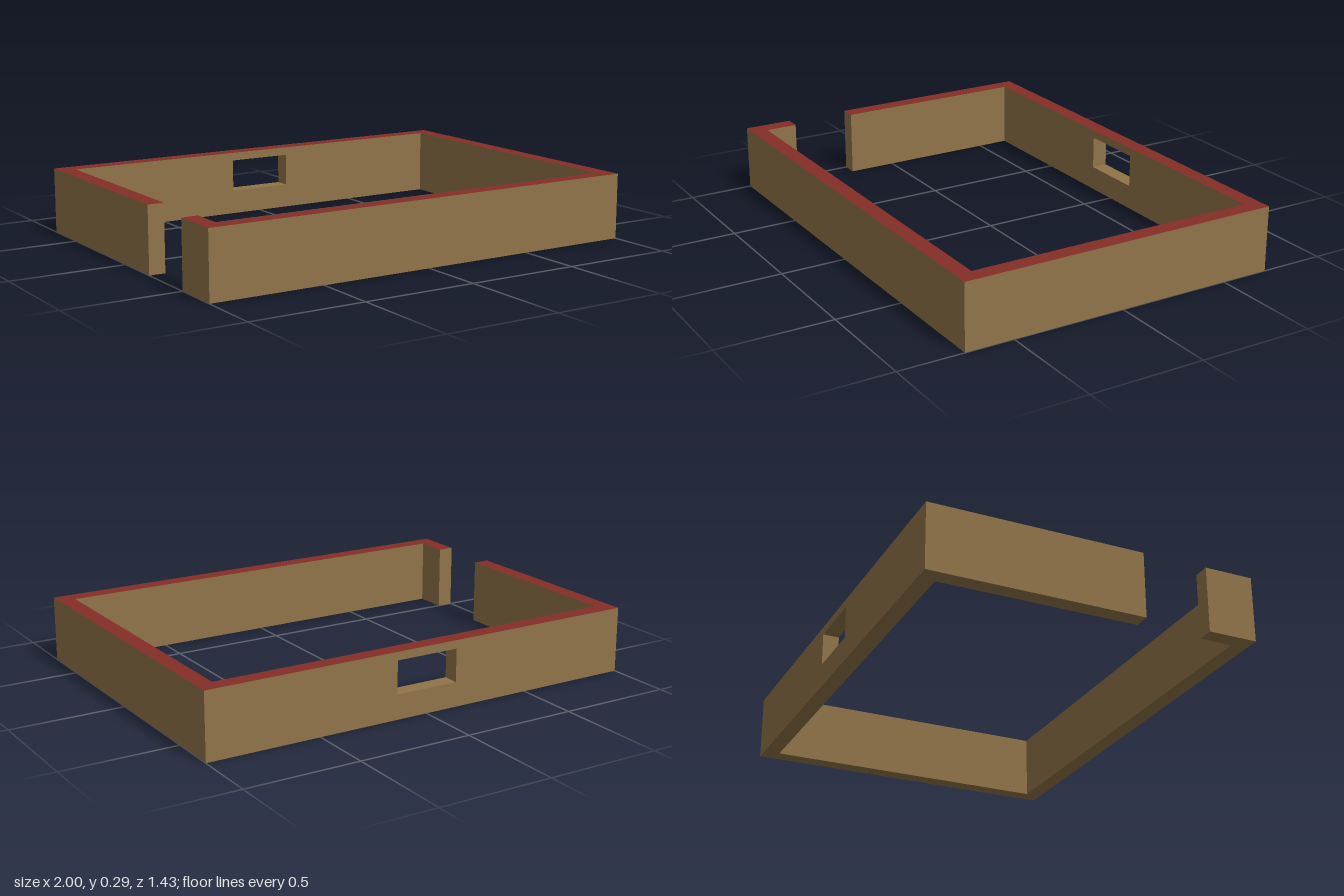
import * as THREE from 'three';
import { mergeGeometries } from 'three/addons/utils/BufferGeometryUtils.js';

const H = 0.286;                       // wall height
const X = 1, Z = 0.714, T = 0.071;     // outer half sizes and wall thickness
const DOOR = [0.214, 0.5];             // doorway gap along z in the -x wall
const WIN = { x: 0.143, y0: 0.107, y1: 0.25 };
const xi = X - T, zi = Z - T;

// Wall footprint (x, z), ordered so every edge faces out of the solid
const footprint = [
  [-X, Z], [X, Z], [X, -Z], [-X, -Z],
  [-X, DOOR[0]], [-xi, DOOR[0]],
  [-xi, -zi], [xi, -zi], [xi, zi], [-xi, zi],
  [-xi, DOOR[1]], [-X, DOOR[1]],
];

const rect = (C, x0, y0, x1, y1) => new C([[x0, y0], [x1, y0], [x1, y1], [x0, y1]]
  .map(([x, y]) => new THREE.Vector2(x, y)));

// Upright face over the ground line a -> b, optionally pierced by the window
function upright([ax, az], [bx, bz], y0, y1, pierced = false) {
  const len = Math.hypot(bx - ax, bz - az);
  const shape = rect(THREE.Shape, 0, y0, len, y1);
  if (pierced) shape.holes.push(rect(THREE.Path, len / 2 - WIN.x, WIN.y0, len / 2 + WIN.x, WIN.y1));
  return new THREE.ShapeGeometry(shape)
    .rotateY(Math.atan2(az - bz, bx - ax))
    .translate(ax, 0, az);
}

// Level face over an outline, facing up (dir 1) or down (dir -1)
function level(points, y, dir) {
  const shape = new THREE.Shape(points.map(([x, z]) => new THREE.Vector2(x, -dir * z)));
  return new THREE.ShapeGeometry(shape).rotateX(-dir * Math.PI / 2).translate(0, y, 0);
}

function createMesh(name, geometry, color) {
  const mesh = new THREE.Mesh(geometry, new THREE.MeshStandardMaterial({ color }));
  mesh.name = name;
  return mesh;
}

export function createModel() {
  const group = new THREE.Group();
  group.name = 'walledEnclosure';
  const wallColor = 0x8f7448, topColor = 0x842e26;

  // Wall faces; both sides of the back wall carry the window opening
  const faces = footprint.map((a, i) => {
    const b = footprint[(i + 1) % footprint.length];
    const isBack = a[1] === b[1] && a[1] <= -zi;
    return upright(a, b, 0, H, isBack);
  });
  faces.push(level(footprint, 0, -1));
  group.add(createMesh('walls', mergeGeometries(faces), wallColor));

  // Window reveal: two jambs, sill and head
  const w = WIN.x;
  const opening = [[-w, -Z], [w, -Z], [w, -zi], [-w, -zi]];
  group.add(createMesh('windowReveal', mergeGeometries([
    upright([-w, -zi], [-w, -Z], WIN.y0, WIN.y1),
    upright([w, -Z], [w, -zi], WIN.y0, WIN.y1),
    level(opening, WIN.y0, 1),
    level(opening, WIN.y1, -1),
  ]), wallColor));

  // Red top of the walls
  group.add(createMesh('wallTop', level(footprint, H, 1), topColor));
  return group;
}
